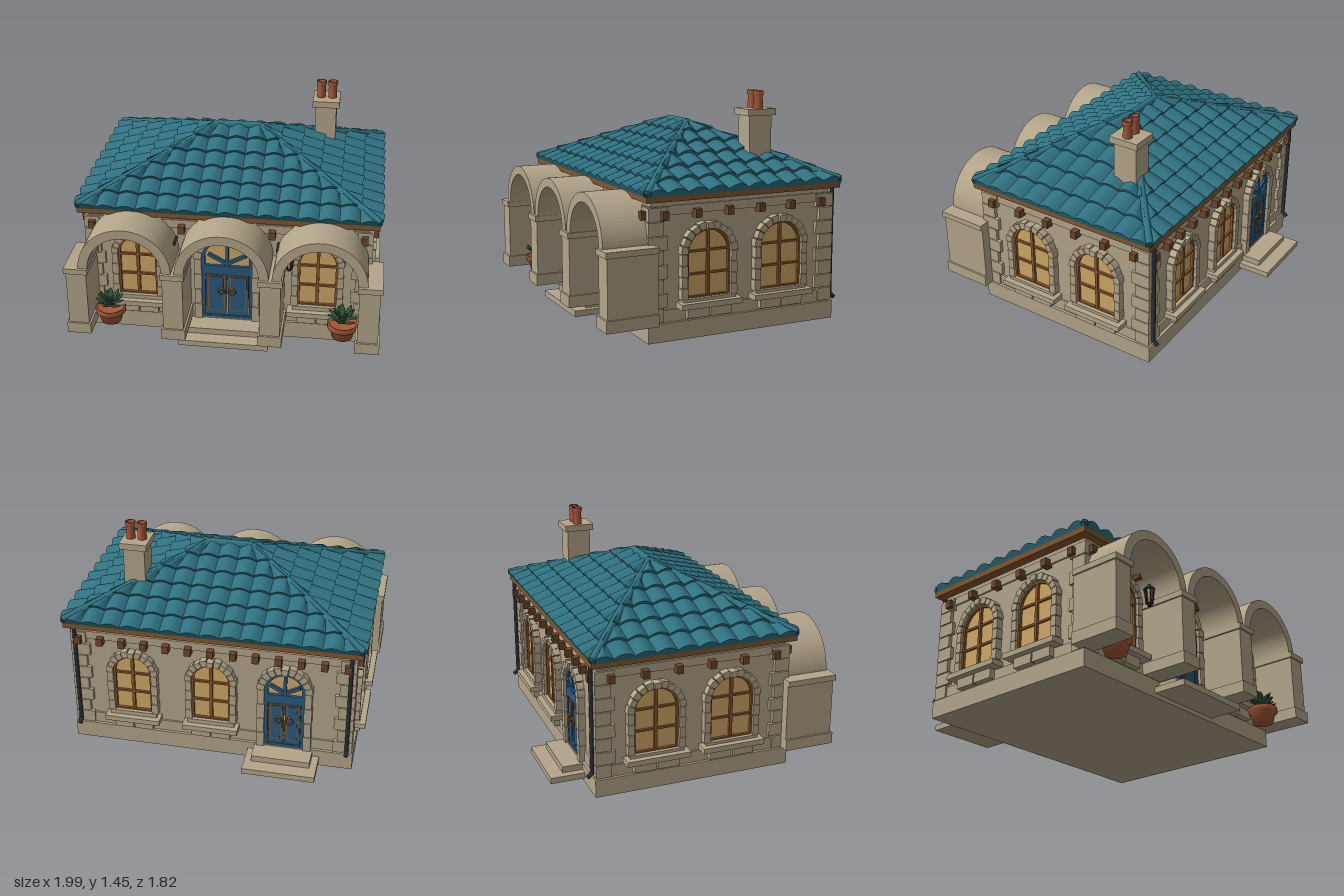
import * as THREE from 'three';
import { mergeGeometries } from 'three/addons/utils/BufferGeometryUtils.js';

const material = (name, color, extra = {}) => {
  const m = new THREE.MeshStandardMaterial({ color, ...extra });
  m.name = name;
  return m;
};
const stone = material('warm stone', 0xb3a58a);
const tile = material('teal roof tile', 0x2f7180, { side: THREE.DoubleSide });
const wood = material('wood', 0x85552c);
const darkWood = material('dark wood', 0x6b4629);
const amber = material('amber glass', 0xcfa865);
const blue = material('blue paint', 0x2a5a80);
const clay = material('terracotta', 0xa5583a);
const leaf = material('leaf green', 0x2f5138, { side: THREE.DoubleSide });
const iron = material('dark iron', 0x2a2f34);

const ZC = -0.04;                      // middle of the house in z
const WX = 0.9, WZ = 0.62;             // half sizes of the walls

function add(parent, name, geo, mat, x = 0, y = 0, z = 0) {
  const m = new THREE.Mesh(geo, mat);
  m.name = name;
  m.position.set(x, y, z);
  parent.add(m);
  return m;
}
// box given by its extents
function slab(parent, name, mat, x0, x1, y0, y1, z0, z1) {
  return add(parent, name, new THREE.BoxGeometry(x1 - x0, y1 - y0, z1 - z0), mat,
    (x0 + x1) / 2, (y0 + y1) / 2, (z0 + z1) / 2);
}
// round bar between two points
function rod(parent, name, mat, a, b, r, sides = 10) {
  const p = new THREE.Vector3(...a), q = new THREE.Vector3(...b), d = q.clone().sub(p);
  const m = add(parent, name, new THREE.CylinderGeometry(r, r, d.length(), sides), mat);
  m.position.copy(p).add(q).multiplyScalar(0.5);
  m.quaternion.setFromUnitVectors(new THREE.Vector3(0, 1, 0), d.normalize());
  return m;
}
// flat bar in a facade plane
function bar(parent, name, mat, x0, y0, x1, y1, w, z, depth) {
  const m = add(parent, name, new THREE.BoxGeometry(Math.hypot(x1 - x0, y1 - y0), w, depth), mat,
    (x0 + x1) / 2, (y0 + y1) / 2, z);
  m.rotation.z = Math.atan2(y1 - y0, x1 - x0);
}
function archOutline(T, hw, y0, ys) {
  const s = new T();
  s.moveTo(-hw, y0);
  s.lineTo(hw, y0);
  s.lineTo(hw, ys);
  s.absarc(0, ys, hw, 0, Math.PI, false);
  s.closePath();
  return s;
}
const extrude = (shape, depth) =>
  new THREE.ExtrudeGeometry(shape, { depth, bevelEnabled: false, curveSegments: 20 });
function ringSector(r0, r1, a0, a1) {
  const s = new THREE.Shape();
  s.absarc(0, 0, r1, a0, a1, false);
  s.absarc(0, 0, r0, a1, a0, true);
  s.closePath();
  return s;
}

// stone surround, frame and glass, facing +z with the wall at z = 0
function opening(name, hw, y0, ys, t) {
  const g = new THREE.Group();
  g.name = name;
  const n = 11, wedges = [];
  for (let i = 0; i < n; i++) {
    const a = Math.PI / n;
    wedges.push(extrude(ringSector(hw, hw + t + (i % 2 ? 0 : 0.006), a * i + 0.015, a * (i + 1) - 0.015), i === 5 ? 0.06 : 0.048));
  }
  add(g, 'archStones', mergeGeometries(wedges), stone, 0, ys, 0);
  for (const s of [-1, 1]) for (let i = 0; i < 4; i++) {
    const h = (ys - y0) / 4;
    add(g, 'jambStone', new THREE.BoxGeometry(t + (i % 2 ? 0 : 0.006), h - 0.004, 0.046), stone, s * (hw + t / 2), y0 + h * (i + 0.5), 0.023);
  }
  add(g, 'glass', new THREE.ShapeGeometry(archOutline(THREE.Shape, hw, y0, ys), 20), amber, 0, 0, 0.008);
  return g;
}
function frame(g, mat, hw, y0, ys, w) {
  const s = archOutline(THREE.Shape, hw, y0, ys);
  s.holes.push(archOutline(THREE.Path, hw - w, y0 + w, ys));
  add(g, 'frame', extrude(s, 0.026), mat);
}
function archWindow(hw, y0, ys, sillW) {
  const g = opening('archedWindow', hw, y0, ys, 0.038), top = ys + hw;
  frame(g, wood, hw, y0, ys, 0.014);
  bar(g, 'mullion', wood, 0, y0, 0, top - 0.01, 0.02, 0.014, 0.02);
  for (const f of [0.35, 0.68])
    bar(g, 'glazingBar', wood, 0.01 - hw, y0 + (top - y0) * f, hw - 0.01, y0 + (top - y0) * f, 0.014, 0.013, 0.018);
  slab(g, 'sill', stone, -sillW / 2, sillW / 2, 0.195, 0.23, 0, 0.088);
  slab(g, 'sillTop', stone, -hw - 0.03, hw + 0.03, 0.23, y0 + 0.004, 0, 0.05);
  for (const s of [-1, 1]) slab(g, 'sillBlock', stone, s * hw * 0.52 - hw * 0.49, s * hw * 0.52 + hw * 0.49, 0.13, 0.192, 0, 0.05);
  return g;
}
function archDoor(hw, ys) {
  const g = opening('archedDoor', hw, 0.11, ys, 0.045), in_ = hw - 0.022;
  frame(g, blue, hw, 0.11, ys, 0.022);
  slab(g, 'transom', blue, -in_, in_, 0.45, 0.51, 0, 0.026);
  for (const s of [-1, 1]) {
    const leafG = new THREE.Group();
    leafG.name = 'doorLeaf';
    leafG.position.x = s * in_ / 2;
    g.add(leafG);
    const w = in_ / 2 - 0.003, p = w - 0.012;
    slab(leafG, 'leaf', blue, -w, w, 0.12, 0.452, 0, 0.02);
    slab(leafG, 'panelTrim', wood, -p, p, 0.165, 0.44, 0, 0.026);
    slab(leafG, 'panel', blue, 0.01 - p, p - 0.01, 0.175, 0.43, 0, 0.031);
    add(g, 'knocker', new THREE.TorusGeometry(0.022, 0.006, 6, 16), wood, s * 0.034, 0.325, 0.04);
    add(g, 'knockerBoss', new THREE.SphereGeometry(0.011, 8, 6), wood, s * 0.034, 0.35, 0.04);
    bar(g, 'fanBar', blue, 0, 0.525, s * hw * 0.74, 0.525 + hw * 0.4, 0.022, 0.016, 0.022);
  }
  bar(g, 'fanBar', blue, 0, 0.5, 0, ys + in_, 0.02, 0.015, 0.022);
  return g;
}

// one slope of barrel tiles: E eave half length, T top half length, run from R0 in to R1
function tileSlope(E, T, R0, R1, cols, rows) {
  const Y0 = 0.89, H = 0.325, patches = [], N = 8;
  const len = Math.hypot(H, R0 - R1), ny = (R0 - R1) / len, nz = H / len;
  const lim = t => E + (T - E) * t;
  const point = (u, t, h) => {
    const l = lim(t);
    return [THREE.MathUtils.clamp(u, -l, l), Y0 + H * t + h * ny, R0 + (R1 - R0) * t + h * nz];
  };
  const patch = f => {
    const pos = [], idx = [];
    for (let j = 0; j < 2; j++) for (let i = 0; i <= N; i++) pos.push(...f(i / N, j));
    for (let i = 0; i < N; i++) idx.push(i, i + 1, i + N + 2, i, i + N + 2, i + N + 1);
    const g = new THREE.BufferGeometry();
    g.setAttribute('position', new THREE.Float32BufferAttribute(pos, 3));
    g.setIndex(idx);
    g.computeVertexNormals();
    patches.push(g);
  };
  const w = 2 * E / cols;
  for (let r = 0; r < rows; r++) for (let c = 0; c < cols; c++) {
    const t0 = r / rows, t1 = (r + 1) / rows, u0 = -E + c * w;
    if (Math.min(Math.abs(u0), Math.abs(u0 + w)) > lim(t0)) continue;
    const bump = f => 0.028 * Math.sin(Math.PI * f);
    patch((f, j) => point(u0 + f * w, j ? t1 : t0, bump(f) + (j ? 0 : 0.018)));
    patch((f, j) => point(u0 + f * w, t0, j ? bump(f) + 0.018 : -0.004));
  }
  return mergeGeometries(patches);
}

function pottedPlant() {
  const g = new THREE.Group();
  g.name = 'pottedPlant';
  const profile = [[0, 0], [0.066, 0], [0.084, 0.07], [0.098, 0.072], [0.1, 0.105], [0.086, 0.105], [0.08, 0.085], [0, 0.085]];
  add(g, 'pot', new THREE.LatheGeometry(profile.map(p => new THREE.Vector2(...p)), 20), clay).material = clay;
  for (let i = 0; i < 16; i++) {
    const geo = new THREE.SphereGeometry(1, 6, 5);
    geo.scale(0.02, 0.055, 0.007);
    geo.translate(0, 0.06, 0);
    geo.rotateX(i % 2 ? 1.1 : 0.6);
    geo.rotateY(i * 2.4);
    add(g, 'leaf', geo, leaf, 0, 0.1 + (i % 3) * 0.012, 0);
  }
  return g;
}

function lantern(s) {
  const g = new THREE.Group();
  g.name = 'lantern';
  rod(g, 'bracket', iron, [s * 0.33, 0.69, 0.57], [s * 0.33, 0.69, 0.68], 0.01);
  rod(g, 'arm', iron, [s * 0.33, 0.69, 0.67], [s * 0.405, 0.7, 0.67], 0.008);
  add(g, 'cap', new THREE.CylinderGeometry(0.006, 0.042, 0.04, 6), iron, s * 0.405, 0.68, 0.67);
  add(g, 'lamp', new THREE.CylinderGeometry(0.026, 0.018, 0.09, 6), amber, s * 0.405, 0.615, 0.67);
  for (let i = 0; i < 6; i++) {
    const c = Math.cos(i * Math.PI / 3), d = Math.sin(i * Math.PI / 3);
    rod(g, 'cageBar', iron, [s * 0.405 + c * 0.02, 0.565, 0.67 + d * 0.02], [s * 0.405 + c * 0.029, 0.665, 0.67 + d * 0.029], 0.005, 5);
  }
  add(g, 'base', new THREE.CylinderGeometry(0.024, 0.012, 0.02, 6), iron, s * 0.405, 0.56, 0.67);
  return g;
}

export function createModel() {
  const model = new THREE.Group();
  model.name = 'villa';
  const house = new THREE.Group();
  house.name = 'house';
  house.position.z = ZC;
  model.add(house);

  // plinth, walls and bands
  const block = (name, mat, hx, hz, y0, y1) => slab(house, name, mat, -hx, hx, y0, y1, -hz, hz);
  block('plinth', stone, 0.93, 0.65, 0, 0.115);
  block('walls', stone, WX, WZ, 0.1, 0.86);
  block('baseCourse', stone, WX + 0.012, WZ + 0.012, 0.115, 0.19);
  block('frieze', stone, WX + 0.012, WZ + 0.012, 0.765, 0.82);
  block('eaves', wood, 0.96, 0.672, 0.853, 0.89);

  // alternating corner stones and rear downpipes
  for (const sx of [-1, 1]) for (const sz of [-1, 1]) {
    for (let i = 0; i < 8; i++) {
      const a = i % 2 ? 0.1 : 0.125, b = i % 2 ? 0.125 : 0.1, o = 0.024;
      add(house, 'cornerStone', new THREE.BoxGeometry(a, 0.082, b), stone,
        sx * (WX + o - a / 2), 0.162 + i * 0.0875, sz * (WZ + o - b / 2));
    }
    if (sz < 0) {
      rod(house, 'downpipe', iron, [sx * 0.89, 0.15, -0.658], [sx * 0.89, 0.86, -0.658], 0.013);
      rod(house, 'downpipeFoot', iron, [sx * 0.89, 0.155, -0.655], [sx * 0.89, 0.125, -0.69], 0.014);
    }
  }

  // brackets under the eaves
  for (const s of [-1, 1]) {
    for (let i = 0; i < 13; i++)
      add(house, 'eaveBracket', new THREE.BoxGeometry(0.042, 0.052, 0.07), darkWood, -0.87 + i * 0.145, 0.768, s * (WZ + 0.02));
    for (let i = 0; i < 6; i++)
      add(house, 'eaveBracket', new THREE.BoxGeometry(0.07, 0.052, 0.042), darkWood, s * (WX + 0.02), 0.768, -0.545 + i * 0.218);
  }

  // windows and doors, placed on each wall
  const place = (g, x, z, ry) => { g.position.set(x, 0, z); g.rotation.y = ry; house.add(g); };
  for (const s of [-1, 1]) {
    place(archWindow(0.127, 0.255, 0.565, 0.385), s * 0.585, WZ, 0);
    for (const z of [0.248, -0.255]) place(archWindow(0.148, 0.245, 0.522, 0.415), s * WX, z, s * Math.PI / 2);
  }
  for (const x of [0, 0.52]) place(archWindow(0.127, 0.255, 0.55, 0.365), x, -WZ, Math.PI);
  place(archDoor(0.165, 0.56), 0, WZ, 0);
  place(archDoor(0.13, 0.55), -0.48, -WZ, Math.PI);

  // steps
  slab(model, 'frontStepLow', stone, -0.29, 0.29, 0.028, 0.067, 0.55, 0.83);
  slab(model, 'frontStepHigh', stone, -0.25, 0.25, 0.067, 0.108, 0.55, 0.74);
  slab(model, 'rearStepLow', stone, -0.715, -0.245, 0.028, 0.067, -0.91, -0.65);
  slab(model, 'rearStepHigh', stone, -0.67, -0.29, 0.067, 0.108, -0.82, -0.65);

  // portico piers and barrel arches
  for (const x of [-0.92, -0.307, 0.307, 0.92]) {
    slab(model, 'pierBase', stone, x - 0.077, x + 0.077, 0.12, 0.195, 0.57, 0.905);
    slab(model, 'pier', stone, x - 0.065, x + 0.065, 0.19, 0.56, 0.57, 0.893);
    slab(model, 'pierCap', stone, x - 0.077, x + 0.077, 0.56, 0.597, 0.57, 0.905);
  }
  for (const x of [-0.61, 0, 0.61])
    add(model, 'barrelArch', extrude(ringSector(0.235, 0.295, 0, Math.PI), 0.315), stone, x, 0.592, 0.572);

  // hipped tile roof
  for (let i = 0; i < 4; i++) {
    const geo = i % 2 ? tileSlope(0.675, 0, 0.965, 0.14, 10, 6) : tileSlope(0.965, 0.14, 0.675, 0, 15, 6);
    add(house, 'roofSlope', geo, tile).rotation.y = i * Math.PI / 2;
  }
  for (const sx of [-1, 1]) for (const sz of [-1, 1])
    rod(house, 'hipTiles', tile, [sx * 0.96, 0.908, sz * 0.67], [sx * 0.14, 1.222, 0], 0.024, 12);
  rod(house, 'ridgeTiles', tile, [-0.145, 1.222, 0], [0.145, 1.222, 0], 0.027, 12);

  // chimney
  const chimney = new THREE.Group();
  chimney.name = 'chimney';
  chimney.position.set(0.562, 0, -0.318);
  model.add(chimney);
  slab(chimney, 'stack', stone, -0.07, 0.07, 0.95, 1.3, -0.08, 0.08);
  slab(chimney, 'cap', stone, -0.09, 0.09, 1.297, 1.34, -0.1, 0.1);
  const potProfile = [[0.03, 0], [0.028, 0.085], [0.034, 0.09], [0.034, 0.115], [0.024, 0.115], [0.022, 0.03], [0, 0.03]];
  for (const s of [-1, 1]) {
    add(chimney, 'chimneyPot', new THREE.LatheGeometry(potProfile.map(p => new THREE.Vector2(...p)), 18), clay, s * 0.038, 1.338, 0);
    add(chimney, 'flue', new THREE.CylinderGeometry(0.022, 0.022, 0.004, 16), iron, s * 0.038, 1.42, 0);
    // porch details
    const plant = pottedPlant();
    plant.position.set(s * 0.76, 0.1, 0.7);
    model.add(plant, lantern(s));
  }
  return model;
}
